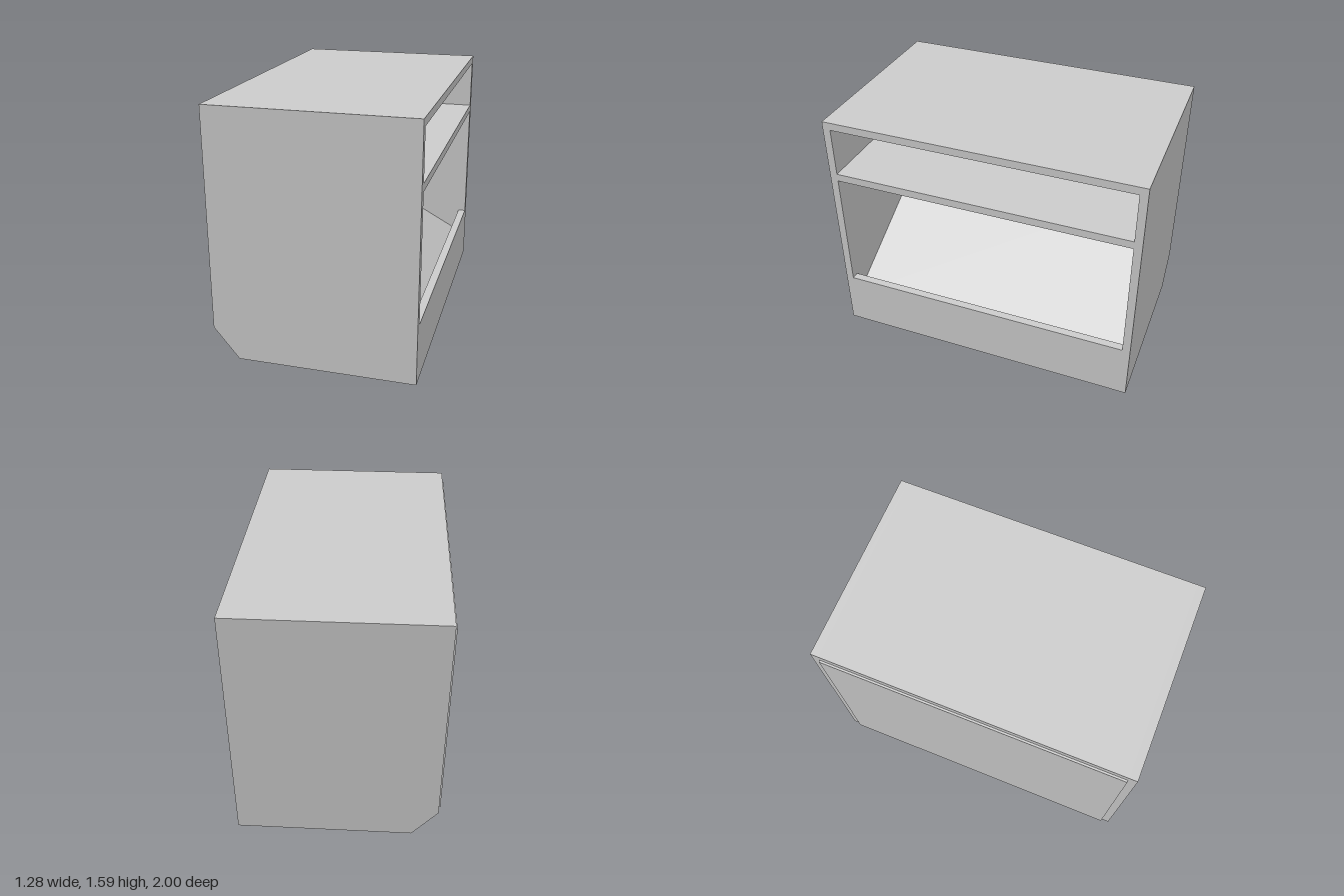
import * as THREE from 'three';

const material = new THREE.MeshStandardMaterial({ color: 0xcccccc, flatShading: true });

// Sweeps an x-y outline along z between two depths
function slab(name, points, z0, z1) {
  const shape = new THREE.Shape(points.map(([x, y]) => new THREE.Vector2(x, y)));
  const geometry = new THREE.ExtrudeGeometry(shape, { depth: z1 - z0, bevelEnabled: false });
  geometry.translate(0, 0, z0);
  const mesh = new THREE.Mesh(geometry, material);
  mesh.name = name;
  return mesh;
}

const rect = (x0, x1, y0, y1) => [[x0, y0], [x1, y0], [x1, y1], [x0, y1]];

export function createModel() {
  const group = new THREE.Group();
  group.name = 'cabinet';

  const back = -0.625, front = 0.638, top = 1.585, wall = 0.05;
  const inner = 1 - wall;
  const innerBack = back + wall;
  const add = (name, points) => group.add(slab(name, points, -inner, inner));

  // End panels with the cut lower corner
  const side = [[-0.465, 0], [front, 0], [front, top], [back, top], [back, 0.195]];
  group.add(slab('frontEndPanel', side, inner, 1));
  group.add(slab('backEndPanel', side, -1, -inner));

  // Horizontal boards; the floor's end follows the cut corner
  add('topBoard', rect(back, front, top - wall, top));
  add('shelf', rect(innerBack, front, 1.17, 1.22));
  add('floorBoard', [[-0.465, 0], [front, 0], [front, 0.03], [-0.49, 0.03]]);

  // Upright boards
  add('rearWall', rect(back, innerBack, 0.195, top - wall));
  add('lowerLip', rect(front - wall, front, 0.03, 0.37));

  // Sloping bottom of the large compartment
  add('ramp', [[innerBack, 0.80], [front - wall, 0.17], [front - wall, 0.2], [innerBack, 0.83]]);

  // Thin cover on the outside of the rear wall
  add('coverPanel', rect(-0.638, back, 0.195, top - wall));

  return group;
}
